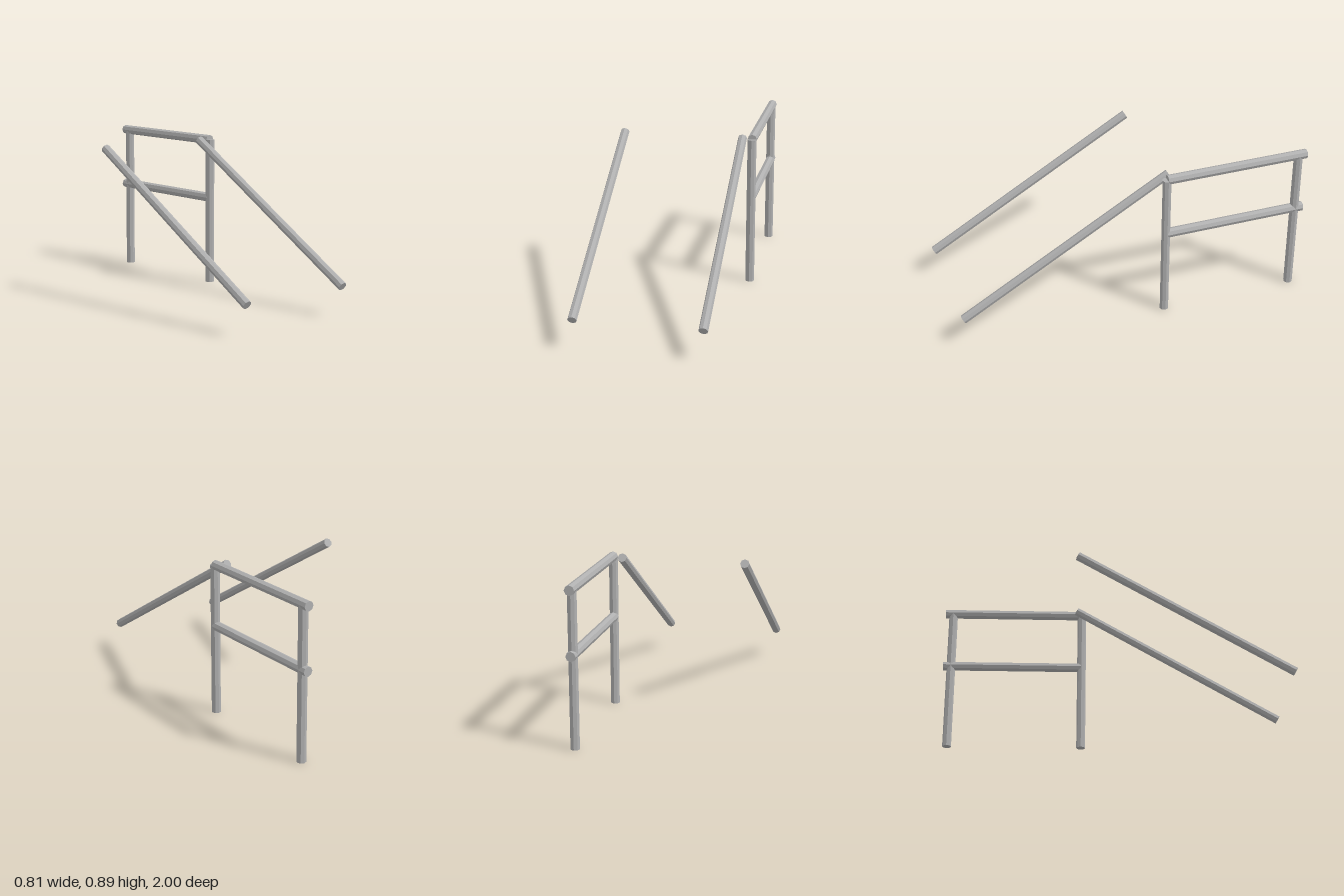
import * as THREE from 'three';

export function createModel() {
  const group = new THREE.Group();
  group.name = 'handrails';
  const steel = new THREE.MeshStandardMaterial({ color: 0xb0b0b0, flatShading: true });
  steel.name = 'grey steel';

  // Eight-sided capped bar between two points
  const bar = (name, radius, from, to) => {
    const a = new THREE.Vector3(...from);
    const b = new THREE.Vector3(...to);
    const axis = b.clone().sub(a);
    const mesh = new THREE.Mesh(new THREE.CylinderGeometry(radius, radius, axis.length(), 8), steel);
    mesh.position.copy(a).add(b).multiplyScalar(0.5);
    mesh.quaternion.setFromUnitVectors(new THREE.Vector3(0, 1, 0), axis.normalize());
    mesh.name = name;
    group.add(mesh);
  };

  // Sloping stair rails
  bar('rightStairRail', 0.0255, [-0.378, 0.169, 0.987], [-0.378, 0.863, -0.201]);
  bar('leftStairRail', 0.0255, [0.316, 0.169, 0.987], [0.316, 0.863, -0.201]);

  // Upright posts of the landing guard
  const x = 0.375;
  bar('frontPost', 0.026, [x, 0, -0.171], [x, 0.863, -0.171]);
  bar('backPost', 0.026, [x, 0, -0.954], [x, 0.863, -0.954]);

  // Level rails of the landing guard
  bar('topRail', 0.0275, [x, 0.863, -0.173], [x, 0.863, -1]);
  bar('middleRail', 0.0275, [x, 0.515, -0.173], [x, 0.515, -1]);

  return group;
}
